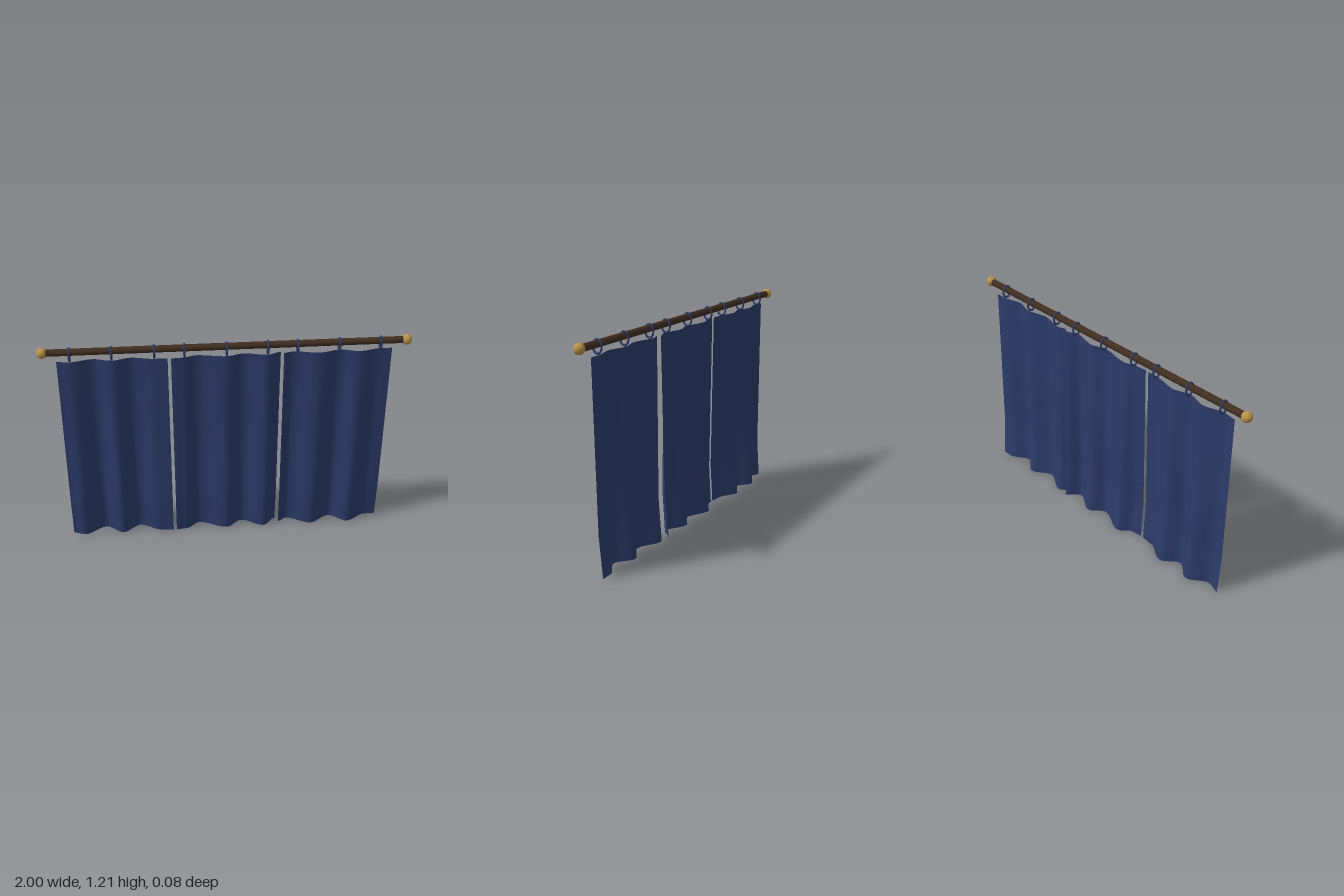
import * as THREE from 'three';

const ROD_Y = 1.183, ROD_Z = 0.012, TOP = 1.13;

function material(name, color, side = THREE.FrontSide) {
  const m = new THREE.MeshStandardMaterial({ color, side });
  m.name = name;
  return m;
}

// Folds of each panel as [x, forward/back amount], left edge to right edge
const PANELS = [
  [[-0.9, 0.3], [-0.83, 0.9], [-0.71, -1], [-0.61, 0.9], [-0.51, -1], [-0.385, 0.7], [-0.315, 0.9]],
  [[-0.297, 0.9], [-0.24, 0.7], [-0.16, -0.9], [0, 0.9], [0.09, -0.9], [0.22, 0.9], [0.293, -1]],
  [[0.309, 0], [0.36, -0.9], [0.5, 0.9], [0.62, -1], [0.72, 0.9], [0.84, -0.9], [0.9, -0.9]],
];
const RINGS = [-0.83, -0.61, -0.385, -0.225, 0, 0.221, 0.381, 0.606, 0.83];

// Smooth blend between neighbouring folds
function foldAt(folds, x) {
  let i = 0;
  while (i < folds.length - 2 && x > folds[i + 1][0]) i++;
  const [x0, s0] = folds[i], [x1, s1] = folds[i + 1];
  return THREE.MathUtils.lerp(s0, s1, THREE.MathUtils.smoothstep(x, x0, x1));
}

// Hanging cloth: folds deepen downwards and the hem swings back
function clothPanel(folds) {
  const left = folds[0][0], right = folds[folds.length - 1][0];
  const geo = new THREE.PlaneGeometry(right - left, TOP, 56, 20);
  geo.translate((left + right) / 2, TOP / 2, 0);
  const pos = geo.attributes.position;
  for (let i = 0; i < pos.count; i++) {
    const drop = 1 - pos.getY(i) / TOP;
    const depth = 0.014 + 0.02 * drop;
    const swing = 0.017 * Math.max(0, (drop - 0.8) / 0.2);
    pos.setZ(i, 0.0115 - swing + depth * foldAt(folds, pos.getX(i)));
  }
  geo.computeVertexNormals();
  return geo;
}

export function createModel() {
  const group = new THREE.Group();
  group.name = 'curtain';
  const cloth = material('navy cloth', 0x2c3b69, THREE.DoubleSide);
  const wood = material('dark wood', 0x402e20);
  const brass = material('brass', 0xb8924a);

  const add = (name, geo, mat, x = 0, y = 0, z = 0) => {
    const mesh = new THREE.Mesh(geo, mat);
    mesh.name = name;
    mesh.position.set(x, y, z);
    group.add(mesh);
    return mesh;
  };

  // Rod with a ball at each end
  const rod = new THREE.CylinderGeometry(0.019, 0.019, 1.94, 20).rotateZ(Math.PI / 2);
  add('rod', rod, wood, 0, ROD_Y, ROD_Z);
  const ball = new THREE.SphereGeometry(0.029, 24, 16);
  for (const side of [-1, 1]) add('finial', ball, brass, side * 0.971, ROD_Y, ROD_Z);

  // Oval rings round the rod
  const ring = new THREE.TorusGeometry(0.034, 0.006, 8, 24).rotateY(Math.PI / 2).scale(1, 1.03, 0.74);
  for (const x of RINGS) add('ring', ring, cloth, x, 1.169, ROD_Z);

  // Cloth panels
  for (const folds of PANELS) add('panel', clothPanel(folds), cloth);

  return group;
}
